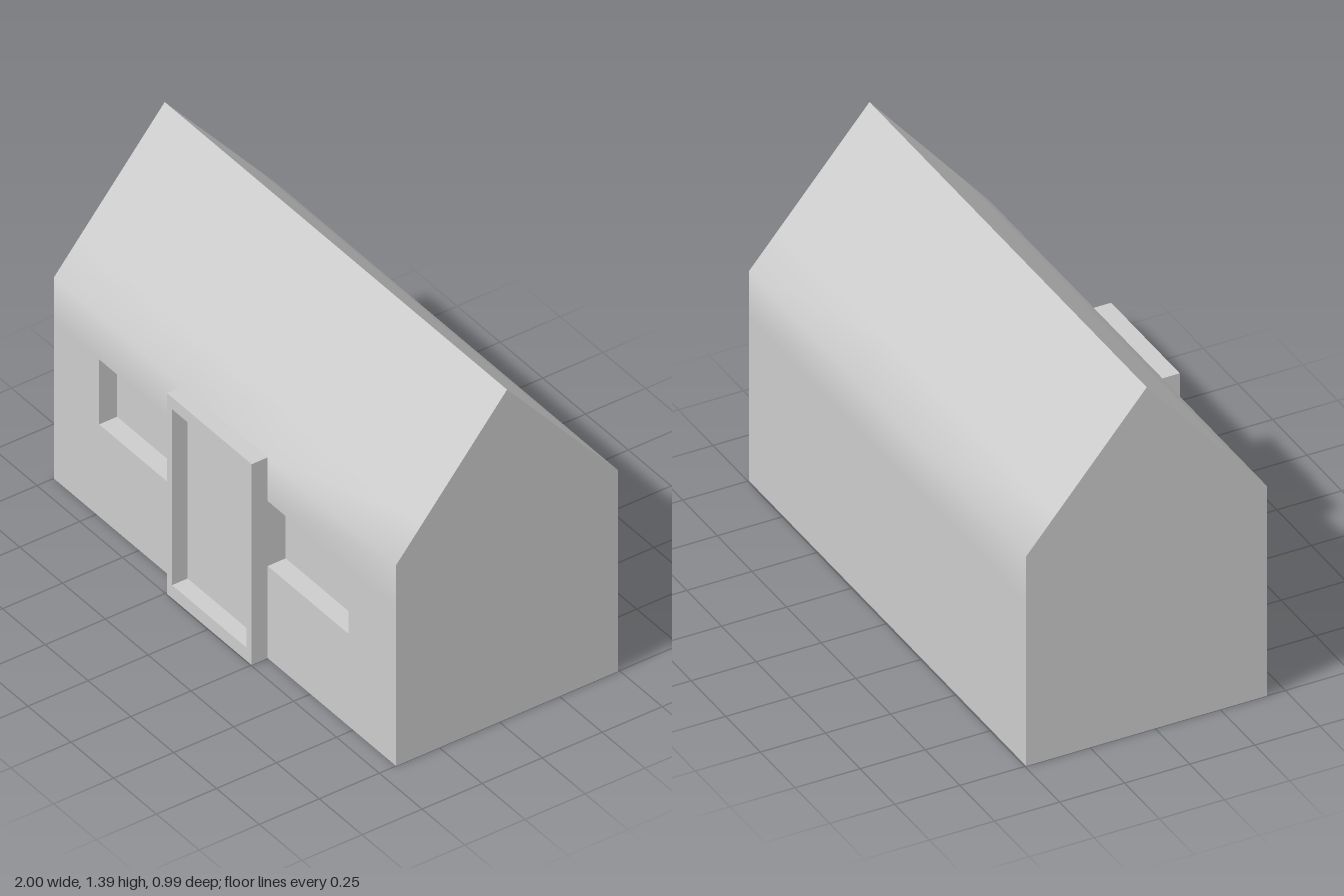
import * as THREE from 'three';
import { mergeGeometries, toCreasedNormals } from 'three/addons/utils/BufferGeometryUtils.js';

const material = new THREE.MeshStandardMaterial({ color: 0xcccccc, side: THREE.DoubleSide });

// Main measures of the open-bottomed shell
const FRONT = 0.43, BACK = -0.495, MID = -0.032, EAVE = 0.85, RIDGE = 1.393;
const PORCH = { x0: -0.245, x1: 0.25, z: 0.497 };
const DOOR = { x0: -0.215, x1: 0.22, y0: 0.055, y1: 0.8 };
const SILL = 0.39, HEAD = 0.665, RECESS = 0.075;

// Flat four-cornered face, corners counter-clockwise seen from outside
function quad(a, b, c, d) {
  const g = new THREE.BufferGeometry();
  g.setAttribute('position', new THREE.Float32BufferAttribute([a, b, c, a, c, d].flat(), 3));
  g.computeVertexNormals();
  return g;
}

// Upright or sloping panel spanning x0..x1 between two [y, z] lines
function panel(x0, x1, [y0, z0], [y1, z1]) {
  return quad([x0, y0, z0], [x1, y0, z0], [x1, y1, z1], [x0, y1, z1]);
}

// Recess running back from the plane z: back panel, two jambs, sill and head
function recess(x0, x1, y0, y1, z, depth) {
  const b = z - depth;
  return [
    panel(x0, x1, [y0, b], [y1, b]),
    panel(x0, x1, [y0, z], [y0, b]),
    panel(x0, x1, [y1, b], [y1, z]),
    quad([x0, y0, z], [x0, y0, b], [x0, y1, b], [x0, y1, z]),
    quad([x1, y0, b], [x1, y0, z], [x1, y1, z], [x1, y1, b]),
  ];
}

function addMesh(group, name, parts, crease = 0.1) {
  const mesh = new THREE.Mesh(toCreasedNormals(mergeGeometries(parts), crease), material);
  mesh.name = name;
  group.add(mesh);
}

export function createModel() {
  const house = new THREE.Group();
  house.name = 'house';

  // Walls and roof share soft shading over the eaves; the ridge stays sharp
  const shell = [];
  const t = 0.25; // height of the soft band on the roof, as a share of the slope
  const bandY = EAVE + t * (RIDGE - EAVE);
  const columns = [-1, PORCH.x0, PORCH.x1, 1];
  for (let i = 0; i < 3; i++) {
    const x0 = columns[i], x1 = columns[i + 1];
    for (const z of [FRONT, BACK]) {
      const [l, r] = z === FRONT ? [x0, x1] : [x1, x0];
      const bandZ = z + t * (MID - z);
      shell.push(panel(l, r, [EAVE, z], [bandY, bandZ]));
      shell.push(panel(l, r, [bandY, bandZ], [RIDGE, MID]));
      if (z === BACK || i !== 1) shell.push(panel(l, r, [HEAD, z], [EAVE, z]));
    }
    shell.push(panel(x1, x0, [0, BACK], [HEAD, BACK]));
    if (i !== 1) shell.push(panel(x0, x1, [0, FRONT], [SILL, FRONT]));
  }
  // Front wall between the windows and the corners
  shell.push(panel(-1, -0.735, [SILL, FRONT], [HEAD, FRONT]));
  shell.push(panel(0.722, 1, [SILL, FRONT], [HEAD, FRONT]));
  addMesh(house, 'wallsAndRoof', shell, Math.PI / 4);

  // Gable ends
  const gableShape = new THREE.Shape([[-FRONT, 0], [-BACK, 0], [-BACK, EAVE], [-MID, RIDGE], [-FRONT, EAVE]]
    .map(([x, y]) => new THREE.Vector2(x, y)));
  const mirrored = new THREE.Shape(gableShape.getPoints().map((p) => new THREE.Vector2(-p.x, p.y)));
  for (const side of [1, -1]) {
    const g = new THREE.ShapeGeometry(side === 1 ? gableShape : mirrored);
    g.rotateY(side * Math.PI / 2).translate(side, 0, 0);
    const gable = new THREE.Mesh(g, material);
    gable.name = side === 1 ? 'leftGable' : 'rightGable';
    house.add(gable);
  }

  // Sunken windows beside the porch
  addMesh(house, 'rightWindow', recess(-0.735, PORCH.x0, SILL, HEAD, FRONT, RECESS));
  addMesh(house, 'leftWindow', recess(PORCH.x1, 0.722, SILL, HEAD, FRONT, RECESS));

  // Porch: hollow surround with top and two cheeks
  const { x0, x1, z } = PORCH;
  const face = (y0, y1, a, b) => panel(a, b, [y0, z], [y1, z]);
  addMesh(house, 'porch', [
    face(0, DOOR.y0, x0, x1),
    face(DOOR.y1, EAVE, x0, x1),
    face(DOOR.y0, DOOR.y1, x0, DOOR.x0),
    face(DOOR.y0, DOOR.y1, DOOR.x1, x1),
    panel(x0, x1, [EAVE, z], [EAVE, FRONT]),
    quad([x1, 0, z], [x1, 0, FRONT], [x1, EAVE, FRONT], [x1, EAVE, z]),
    quad([x0, 0, FRONT], [x0, 0, z], [x0, EAVE, z], [x0, EAVE, FRONT]),
  ]);

  // Door set back inside the porch
  addMesh(house, 'door', recess(DOOR.x0, DOOR.x1, DOOR.y0, DOOR.y1, z, 0.065));

  return house;
}
